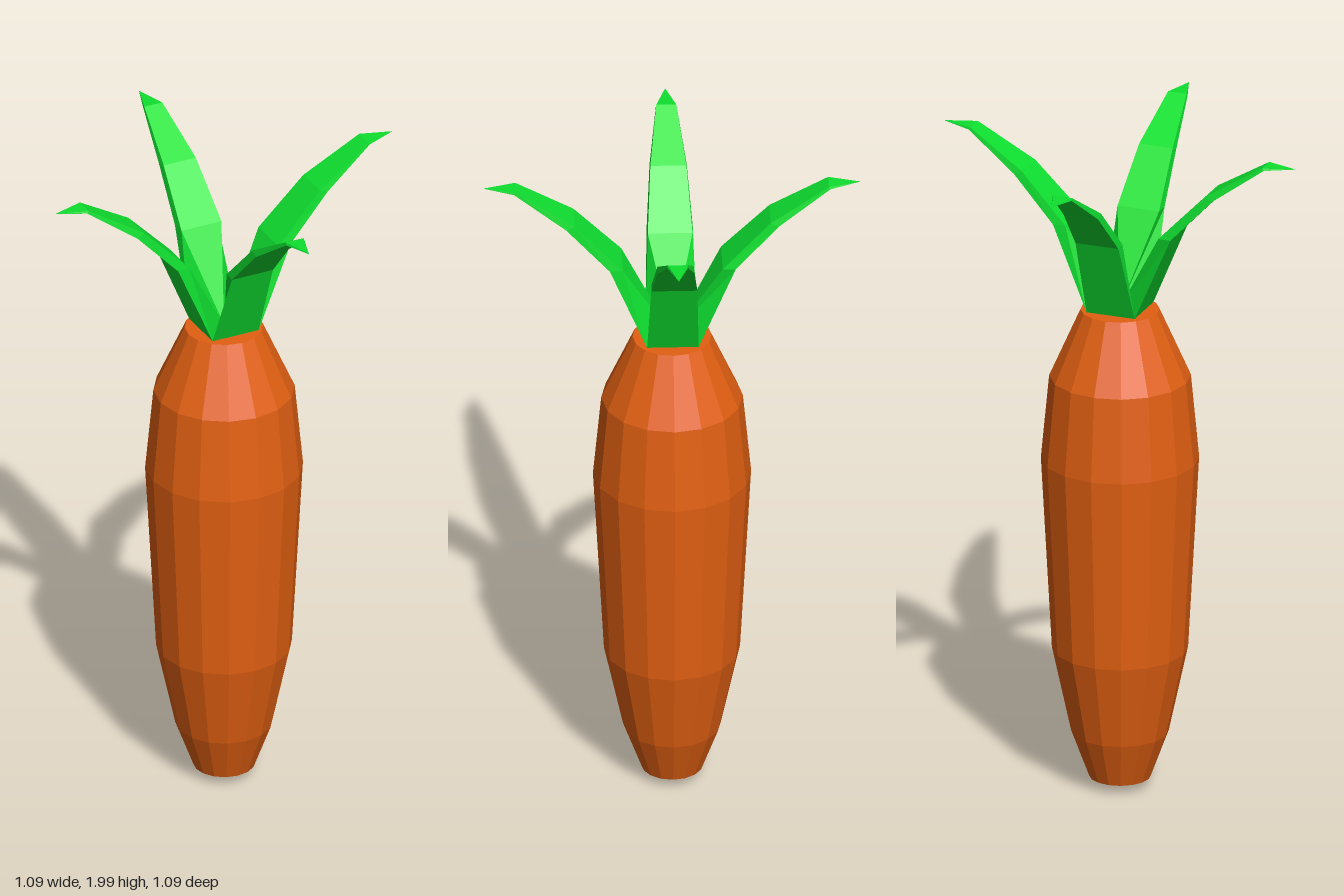
import * as THREE from 'three';

const orange = new THREE.MeshStandardMaterial({ color: 0xe26012, flatShading: true });
const green = new THREE.MeshStandardMaterial({ color: 0x0fe030, flatShading: true, side: THREE.DoubleSide });

// Root: a 16-sided lathe, closed at both ends
function makeRoot() {
  const profile = [
    [0, 0.01], [0.09, 0.04], [0.142, 0.18], [0.198, 0.44], [0.23, 1.03],
    [0.206, 1.285], [0.115, 1.49], [0, 1.49],
  ].map(([r, y]) => new THREE.Vector2(r, y));
  const root = new THREE.Mesh(new THREE.LatheGeometry(profile, 16), orange);
  root.name = 'root';
  return root;
}

// Leaf growing towards +x: rows of [upper x, lower x, y upper, y lower, half width]
function makeLeafGeometry() {
  const rows = [
    [0, 0.075, 1.495, 1.495, 0.075],
    [0.145, 0.183, 1.75, 1.75, 0.067],
    [0.285, 0.31, 1.895, 1.885, 0.054],
    [0.455, 0.46, 2.0, 1.993, 0.03],
    [0.547, 0.547, 2.0, 1.999, 0],
  ];
  const positions = [];
  rows.forEach(([xu, xl, yu, yl, w], i) => {
    const wu = i === 0 ? 0 : w * 0.97; // upper face starts from a point at the crown
    positions.push(xu, yu, wu, xu, yu, -wu, xl, yl, -w, xl, yl, w);
  });
  const index = [];
  for (let i = 0; i < rows.length - 1; i++) {
    for (let k = 0; k < 4; k++) {
      const a = i * 4 + k, b = i * 4 + (k + 1) % 4;
      index.push(a, a + 4, b, b, a + 4, b + 4);
    }
  }
  const geometry = new THREE.BufferGeometry();
  geometry.setAttribute('position', new THREE.Float32BufferAttribute(positions, 3));
  geometry.setIndex(index);
  geometry.computeVertexNormals();
  return geometry;
}

export function createModel() {
  const model = new THREE.Group();
  model.name = 'carrot';
  model.add(makeRoot());

  // Four identical leaves around the crown
  const leaves = new THREE.Group();
  leaves.name = 'leaves';
  const leafGeometry = makeLeafGeometry();
  ['leftLeaf', 'backLeaf', 'rightLeaf', 'frontLeaf'].forEach((name, i) => {
    const leaf = new THREE.Mesh(leafGeometry, green);
    leaf.name = name;
    leaf.rotation.y = i * Math.PI / 2;
    leaves.add(leaf);
  });
  model.add(leaves);
  return model;
}
